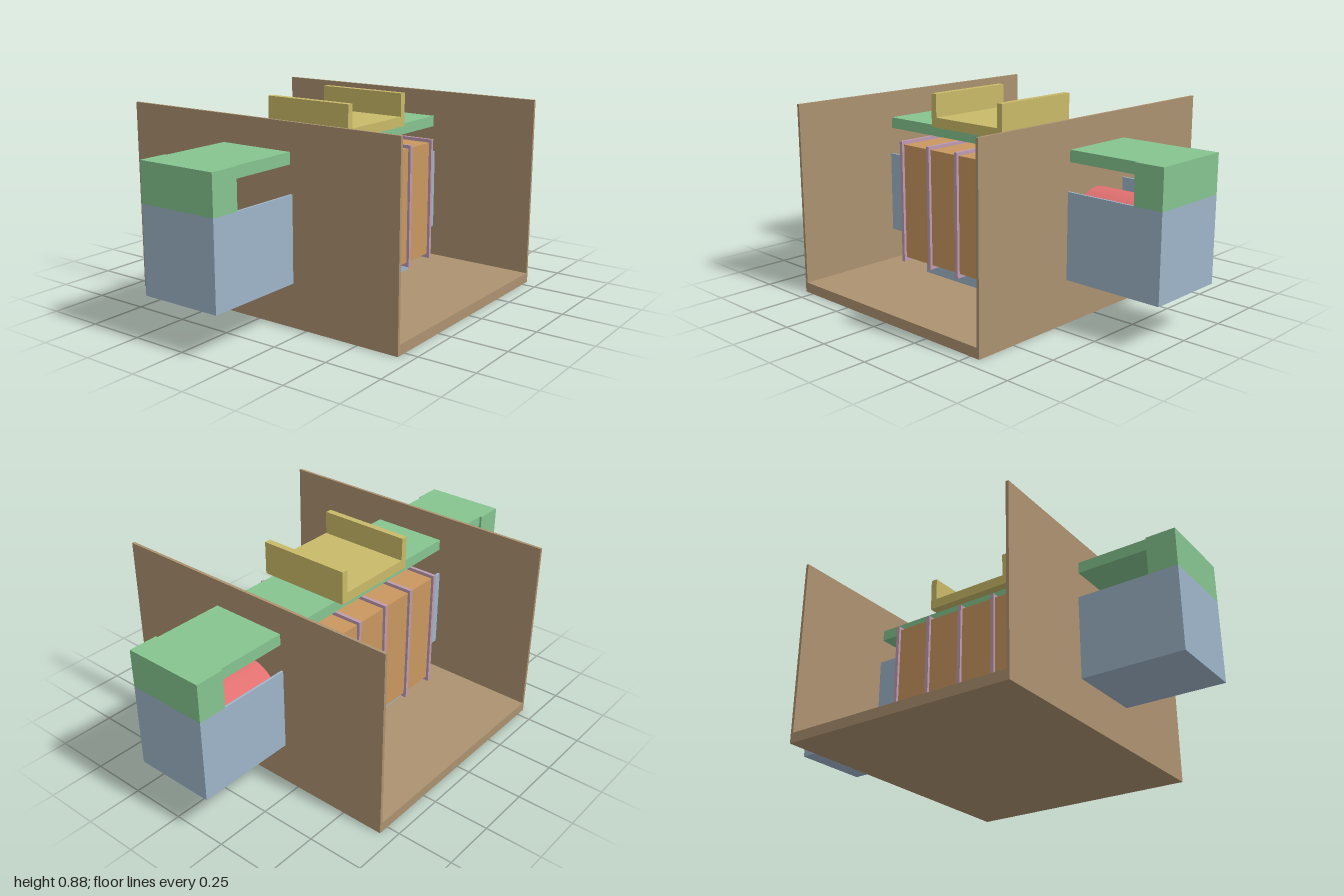
import * as THREE from 'three';

const paint = (name, color) => Object.assign(new THREE.MeshStandardMaterial({ color }), { name });

export function createModel() {
  const model = new THREE.Group();
  model.name = 'coilAssembly';
  const brown = paint('housing brown', 0xac9270);
  const blue = paint('trough blue', 0x9fb5c9);
  const green = paint('yoke green', 0x85c48f);
  const orange = paint('winding orange', 0xca975f);
  const mauve = paint('flange mauve', 0xbf9bb0);
  const yellow = paint('bracket yellow', 0xc9ba68);
  const red = paint('rod red', 0xe07070);
  const grey = paint('core grey', 0xc4c4cc);

  // Box given by its limits on x and y and its full depth, centred on z unless shifted
  const box = (name, mat, x0, x1, y0, y1, depth, z = 0) => {
    const mesh = new THREE.Mesh(new THREE.BoxGeometry(x1 - x0, y1 - y0, depth), mat);
    mesh.position.set((x0 + x1) / 2, (y0 + y1) / 2, z);
    mesh.name = name;
    model.add(mesh);
  };
  // Round bar lying along x
  const bar = (name, mat, x0, x1, y, r) => {
    const mesh = new THREE.Mesh(new THREE.CylinderGeometry(r, r, x1 - x0, 48), mat);
    mesh.rotation.z = Math.PI / 2;
    mesh.position.set((x0 + x1) / 2, y, 0);
    mesh.name = name;
    model.add(mesh);
  };

  // Open housing: floor and two tall side walls
  box('housingFloor', brown, -0.535, 0.535, 0, 0.045, 1.38);
  box('housingWallLeft', brown, 0.535, 0.548, 0, 0.85, 1.38);
  box('housingWallRight', brown, -0.548, -0.535, 0, 0.85, 1.38);
  box('mountingPad', blue, -0.26, 0.26, 0.045, 0.09, 0.44);

  // Open-topped trough running through the housing
  box('troughFloor', blue, -1, 1, 0.19, 0.2, 0.37);
  for (const s of [-1, 1]) {
    box('troughSide', blue, -1, 1, 0.2, 0.56, 0.01, s * 0.18);
    box('troughEnd', blue, s < 0 ? -1 : 0.87, s < 0 ? -0.87 : 1, 0.2, 0.56, 0.35);
    // Yoke end blocks standing on the trough
    box('yokeEnd', green, s < 0 ? -1 : 0.87, s < 0 ? -0.87 : 1, 0.56, 0.73, 0.37);
  }
  box('yokeBar', green, -0.87, 0.87, 0.68, 0.73, 0.35);

  // Core and rod inside the trough
  bar('core', grey, -0.49, 0.5, 0.39, 0.155);
  bar('rod', red, 0.5, 0.87, 0.39, 0.16);

  // Winding sections between five flanges
  const pitch = 0.176;
  for (let i = 0; i < 5; i++) {
    const x = (i - 2) * pitch;
    box('flange', mauve, x - 0.008, x + 0.008, 0.09, 0.655, 0.56);
    if (i < 4) box('winding', orange, x + 0.008, x + pitch - 0.008, 0.11, 0.64, 0.535);
  }

  // U-shaped bracket on top of the yoke
  box('bracketBase', yellow, -0.215, 0.215, 0.73, 0.775, 0.43);
  for (const s of [-1, 1]) {
    box('bracketSide', yellow, s * 0.2 - 0.015, s * 0.2 + 0.015, 0.775, 0.88, 0.43);
  }
  return model;
}
